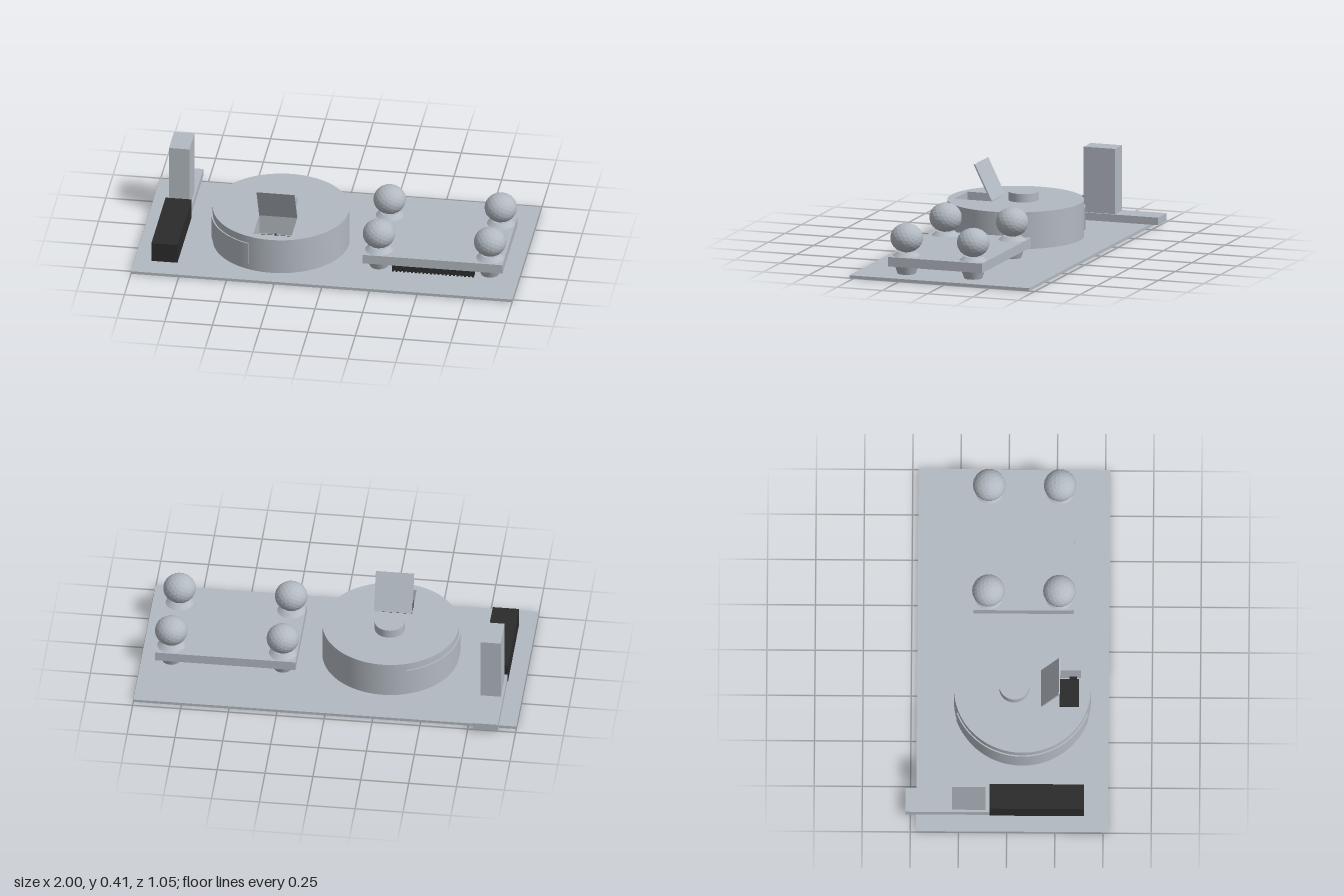
import * as THREE from 'three';
import { toCreasedNormals } from 'three/addons/utils/BufferGeometryUtils.js';

export function createModel() {
  const model = new THREE.Group();
  const grey = new THREE.MeshStandardMaterial({ name: 'light grey', color: 0xb2b9c1 });
  const greyFlat = new THREE.MeshStandardMaterial({ name: 'light grey faceted', color: 0xb2b9c1, flatShading: true });
  const dark = new THREE.MeshStandardMaterial({ name: 'charcoal', color: 0x2b2b2b });

  function add(name, geometry, material, x = 0, y = 0, z = 0, parent = model) {
    const mesh = new THREE.Mesh(geometry, material);
    mesh.name = name;
    mesh.position.set(x, y, z);
    parent.add(mesh);
    return mesh;
  }
  // Box given by its extents on each axis
  function box(name, material, x0, x1, y0, y1, z0, z1) {
    return add(name, new THREE.BoxGeometry(x1 - x0, y1 - y0, z1 - z0), material,
      (x0 + x1) / 2, (y0 + y1) / 2, (z0 + z1) / 2);
  }
  // Extrude a plan shape (drawn with y = -z) upwards
  function extrudeUp(shape, depth) {
    const g = new THREE.ExtrudeGeometry(shape, { depth, bevelEnabled: false, curveSegments: 64 });
    g.rotateX(-Math.PI / 2);
    return toCreasedNormals(g, 0.5);
  }

  box('basePlate', grey, -1, 1, 0, 0.015, -0.47, 0.525);

  // Round drum with a rectangular hatch opening
  const cx = -0.28, cz = 0.077, r = 0.355;
  const drum = new THREE.Shape();
  drum.absarc(0, 0, r, 0, Math.PI * 2, false);
  const opening = new THREE.Path();
  const near = cz - 0.38, far = cz - 0.175;
  opening.moveTo(-0.1, near);
  opening.lineTo(-0.1, far);
  opening.lineTo(0.1, far);
  opening.lineTo(0.1, near);
  opening.closePath();
  drum.holes.push(opening);
  add('drum', extrudeUp(drum, 0.195), grey, cx, 0.015, cz);
  add('drumHub', new THREE.CylinderGeometry(0.078, 0.078, 0.045, 48), grey, cx, 0.2325, 0.035);

  // Curved side panel wrapped round the drum's right side
  const spread = 1.225;
  const panel = new THREE.Shape();
  panel.absarc(0, 0, 0.362, Math.PI - spread, Math.PI + spread, false);
  panel.absarc(0, 0, 0.35, Math.PI + spread, Math.PI - spread, true);
  panel.closePath();
  add('drumSidePanel', extrudeUp(panel, 0.122), grey, cx, 0.048, cz);

  // Open hatch lid, hinged at the rear of the opening
  const lid = add('hatchLid', new THREE.BoxGeometry(0.2, 0.21, 0.008), grey, cx, 0.305, 0.223);
  lid.rotation.x = 0.46;

  // Reel seated inside the hatch
  box('hatchFloor', grey, cx - 0.1, cx + 0.1, 0.08, 0.1, 0.175, 0.38);
  box('reelBody', dark, cx - 0.075, cx + 0.075, 0.1, 0.15, 0.27, 0.37);
  for (const side of [-1, 1]) {
    box('reelFlange', dark, cx + side * 0.08 - 0.006, cx + side * 0.08 + 0.006, 0.1, 0.16, 0.32, 0.36);
  }
  box('reelClip', dark, cx - 0.004, cx + 0.004, 0.15, 0.158, 0.27, 0.31);

  // Upright post, sliding rail and dark housing
  box('slideRail', grey, -0.91, -0.78, 0.02, 0.06, -0.525, -0.09);
  box('post', grey, -0.897, -0.79, 0.06, 0.405, -0.283, -0.11);
  box('housing', dark, -0.912, -0.775, 0.015, 0.12, -0.09, 0.4);

  // Raised tray on four legs with round knobs
  box('tray', grey, 0.187, 0.921, 0.06, 0.11, -0.18, 0.34);
  const leg = new THREE.CylinderGeometry(0.063, 0.047, 0.045, 32);
  const collar = new THREE.CylinderGeometry(0.048, 0.072, 0.02, 32);
  const ball = new THREE.IcosahedronGeometry(0.085, 3);
  for (const x of [0.262, 0.845]) {
    for (const z of [-0.103, 0.265]) {
      add('trayLeg', leg, grey, x, 0.0375, z);
      add('knobCollar', collar, grey, x, 0.12, z);
      add('knob', ball, greyFlat, x, 0.203, z).scale.y = 0.9;
    }
  }

  // Ribbed dark strip beneath the tray's front edge
  box('stripCore', dark, 0.34, 0.77, 0.022, 0.06, 0.3, 0.325);
  for (let i = 0; i < 22; i++) {
    const x = 0.345 + i * 0.02;
    const rib = box('stripRib', dark, x - 0.005, x + 0.005, 0.022, 0.057, 0.318, 0.336);
    rib.rotation.x = -0.12;
  }
  return model;
}
